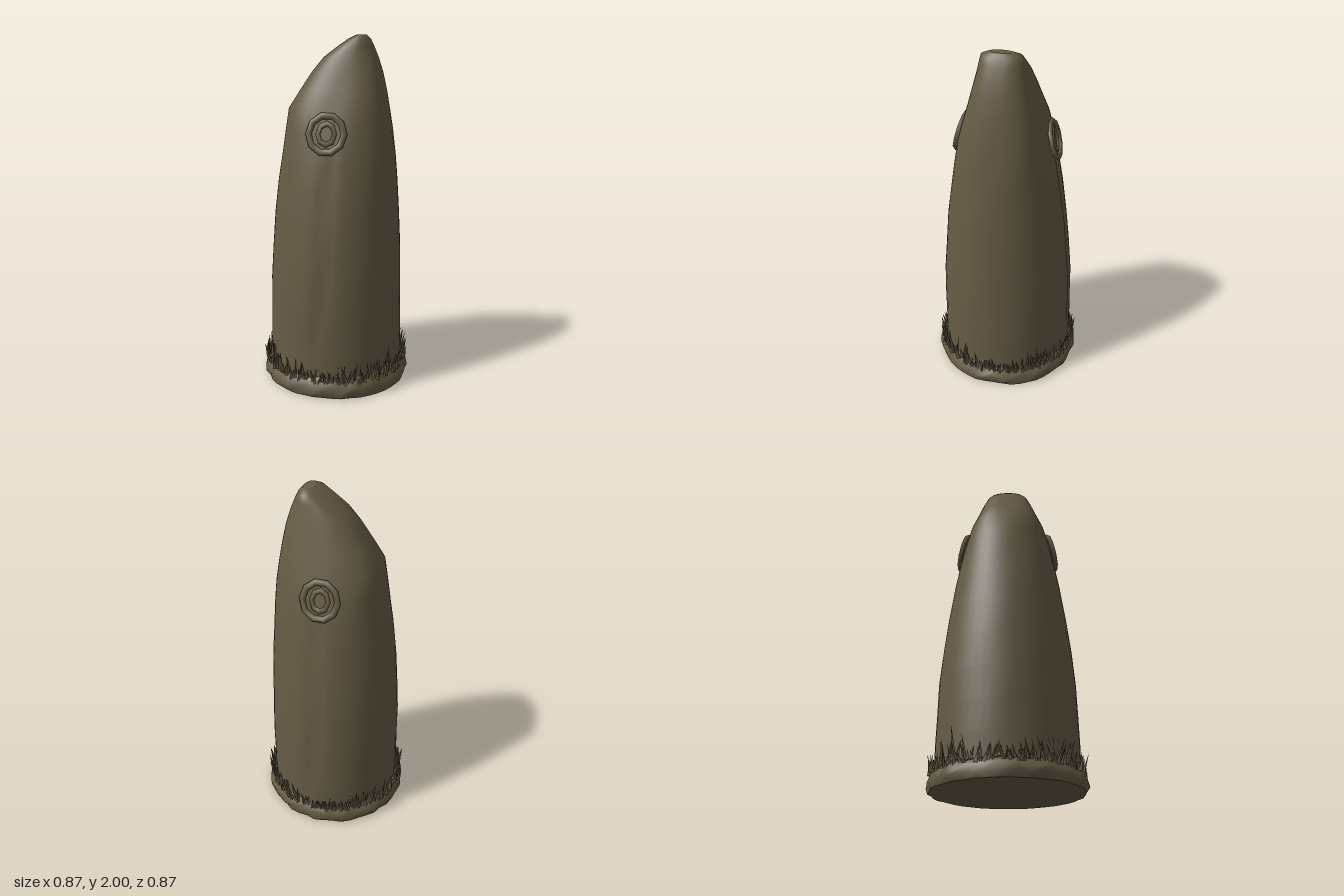
import * as THREE from 'three';
import { mergeGeometries } from 'three/addons/utils/BufferGeometryUtils.js';

const SEG = 48;

// Small seeded random generator
function seeded(seed) {
  return () => {
    seed = (seed * 16807) % 2147483647;
    return seed / 2147483647;
  };
}

// Closed loft through rings of equal point count, ordered bottom to top
function loft(rings) {
  const n = rings[0].length, pos = [], idx = [];
  rings.forEach(r => r.forEach(p => pos.push(p.x, p.y, p.z)));
  for (let j = 0; j < rings.length - 1; j++) {
    for (let i = 0; i < n; i++) {
      const a = j * n + i, b = j * n + (i + 1) % n;
      idx.push(a, a + n, b, b, a + n, b + n);
    }
  }
  const cap = (ring, flip) => {
    const c = ring.reduce((s, p) => s.add(p), new THREE.Vector3()).divideScalar(n);
    const start = pos.length / 3;
    pos.push(c.x, c.y, c.z);
    ring.forEach(p => pos.push(p.x, p.y, p.z));
    for (let i = 0; i < n; i++) {
      const a = start + 1 + i, b = start + 1 + (i + 1) % n;
      if (flip) idx.push(start, a, b); else idx.push(start, b, a);
    }
  };
  cap(rings[0], true);
  cap(rings[rings.length - 1], false);
  const geo = new THREE.BufferGeometry();
  geo.setAttribute('position', new THREE.Float32BufferAttribute(pos, 3));
  geo.setIndex(idx);
  geo.computeVertexNormals();
  return geo;
}

// Leaning stone: height, left edge, right edge, half depth, squareness
const SECTIONS = [
  [0.03, -0.39, 0.39, 0.395, 2], [0.25, -0.39, 0.39, 0.393, 2],
  [0.42, -0.387, 0.388, 0.39, 2], [0.6, -0.383, 0.385, 0.385, 2],
  [0.8, -0.372, 0.379, 0.367, 2], [1.0, -0.355, 0.37, 0.345, 2.05],
  [1.2, -0.33, 0.355, 0.315, 2.1], [1.33, -0.308, 0.343, 0.292, 2.2],
  [1.48, -0.283, 0.325, 0.26, 2.4], [1.6, -0.262, 0.305, 0.226, 2.6],
  [1.7, -0.197, 0.286, 0.192, 2.7], [1.8, -0.13, 0.263, 0.162, 2.7],
  [1.88, -0.065, 0.237, 0.138, 2.6], [1.94, 0.015, 0.212, 0.12, 2.5],
  [1.98, 0.075, 0.192, 0.108, 2.3], [2.0, 0.115, 0.172, 0.065, 2],
];

function stoneGeometry() {
  const rings = SECTIONS.map(([y, x0, x1, hz, e]) => {
    const cx = (x0 + x1) / 2, hx = (x1 - x0) / 2, ring = [];
    for (let i = 0; i < SEG; i++) {
      const a = i / SEG * Math.PI * 2, c = Math.cos(a), s = Math.sin(a);
      const k = Math.pow(Math.pow(Math.abs(c), e) + Math.pow(Math.abs(s), e), -1 / e);
      // shallow weathering, plus a crack down the front and back
      const worn = 1 + 0.006 * Math.sin(a * 5 + y * 6) * Math.sin(y * 7 + a * 2);
      const crack = i % (SEG / 2) === SEG / 4 && y > 0.4 && y < 1.35
        ? 1 - 0.045 - 0.015 * Math.sin(y * 23) : 1;
      ring.push(new THREE.Vector3(cx + hx * k * c * worn, y, hz * k * s * worn * crack));
    }
    return ring;
  });
  return loft(rings);
}

// Uneven earth collar around the foot
function collarGeometry() {
  const rnd = seeded(41);
  const rows = [[0, 0.42], [0.035, 0.434], [0.065, 0.425], [0.095, 0.405], [0.125, 0.375]];
  return loft(rows.map(([y, r], j) => Array.from({ length: SEG }, (_, i) => {
    const a = i / SEG * Math.PI * 2;
    const rr = r + (rnd() - 0.5) * 0.014, h = j ? y + (rnd() - 0.5) * 0.022 : 0;
    return new THREE.Vector3(Math.cos(a) * rr, h, Math.sin(a) * rr);
  })));
}

// Ring of thin pointed blades, tallest on the diagonals
function grassGeometry() {
  const rnd = seeded(97), blades = [], count = 230;
  for (let i = 0; i < count; i++) {
    const a = (i + rnd()) / count * Math.PI * 2;
    const diagonal = Math.pow(Math.abs(Math.sin(2 * a)), 2);
    const h = 0.04 + rnd() * (0.06 + 0.06 * diagonal) + (rnd() > 0.9 ? 0.07 * diagonal : 0);
    const blade = new THREE.ConeGeometry(0.008 + rnd() * 0.007, h, 3, 1, true);
    blade.translate(0, h / 2, 0);
    blade.rotateZ((rnd() - 0.5) * 0.6);
    blade.rotateX((rnd() - 0.4) * 0.45);
    blade.rotateY(Math.PI / 2 - a);
    const r = 0.398 + rnd() * 0.022;
    blade.translate(Math.cos(a) * r, 0.075 + rnd() * 0.03, Math.sin(a) * r);
    blades.push(blade);
  }
  return mergeGeometries(blades);
}

// Carved medallion: raised rim and a small worn centre
function createMedallion(material) {
  const group = new THREE.Group();
  const add = (name, geo, z) => {
    const mesh = new THREE.Mesh(geo, material);
    mesh.name = name;
    mesh.position.z = z;
    group.add(mesh);
  };
  const rim = new THREE.TorusGeometry(0.098, 0.018, 6, 10);
  rim.scale(1, 1.05, 0.75);
  add('medallionRim', rim, 0.004);
  add('medallionPlate', new THREE.CylinderGeometry(0.1, 0.1, 0.016, 10).rotateX(Math.PI / 2), -0.008);
  const inner = new THREE.TorusGeometry(0.045, 0.014, 5, 8);
  inner.scale(1, 1.25, 0.8);
  add('medallionInnerRing', inner, 0.002);
  return group;
}

export function createModel() {
  const model = new THREE.Group();
  model.name = 'standingStone';
  const stone = new THREE.MeshStandardMaterial({ color: 0x665c45 });
  stone.name = 'mossy brown stone';
  const blade = new THREE.MeshStandardMaterial({ color: 0x665c45, side: THREE.DoubleSide });
  blade.name = 'mossy brown grass';

  const add = (name, geo, mat) => {
    const mesh = new THREE.Mesh(geo, mat);
    mesh.name = name;
    model.add(mesh);
  };
  add('stoneBody', stoneGeometry(), stone);
  add('earthCollar', collarGeometry(), stone);
  add('grassBlades', grassGeometry(), blade);

  // One medallion on the front and one on the back, following the slope
  for (const [name, turn] of [['frontMedallion', 0], ['backMedallion', Math.PI]]) {
    const side = new THREE.Group();
    side.name = name;
    side.rotation.y = turn;
    const medallion = createMedallion(stone);
    medallion.position.set(0, 1.48, 0.263);
    medallion.rotation.x = -0.26;
    side.add(medallion);
    model.add(side);
  }
  return model;
}
